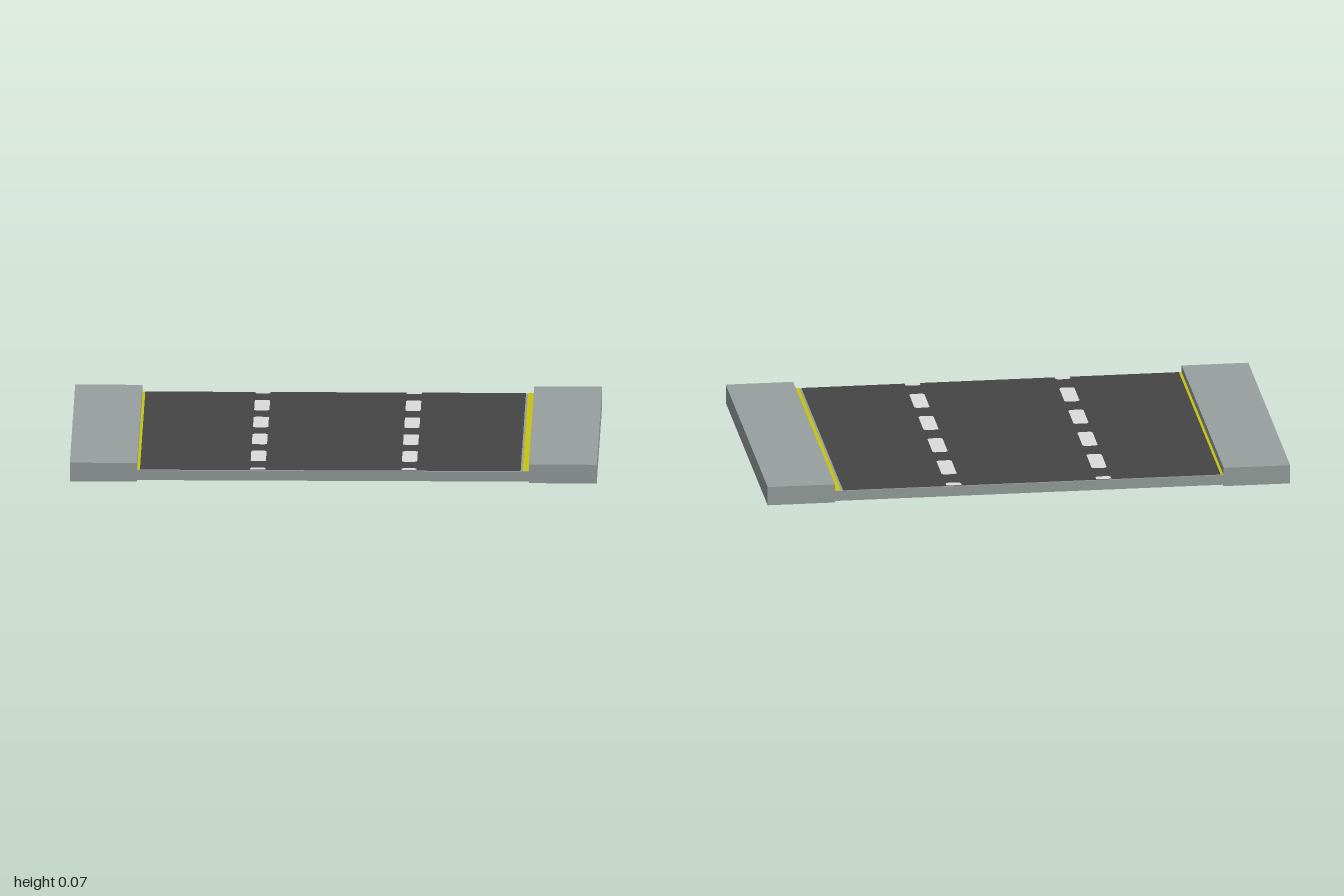
import * as THREE from 'three';

const DEPTH = 1.224, HALF = DEPTH / 2;
const ROAD_Y = 0.045;

function material(name, color) {
  const m = new THREE.MeshStandardMaterial({ color });
  m.name = name;
  return m;
}

export function createModel() {
  const group = new THREE.Group();
  const concrete = material('concrete grey', 0x97a19f);
  const asphalt = material('asphalt', 0x454545);
  const white = material('lane white', 0xdcdcdc);
  const yellow = material('kerb yellow', 0xc8c30c);

  // Box given by its x, y and z extents
  function box(name, mat, x0, x1, y0, y1, z0 = -HALF, z1 = HALF) {
    const mesh = new THREE.Mesh(new THREE.BoxGeometry(x1 - x0, y1 - y0, z1 - z0), mat);
    mesh.position.set((x0 + x1) / 2, (y0 + y1) / 2, (z0 + z1) / 2);
    mesh.name = name;
    group.add(mesh);
  }

  // Upward-facing plate lying on the road, with softened corners where asked
  function plate(name, mat, x0, x1, z0, z1, y, cutStart = 0, cutEnd = 0) {
    const a = cutStart, b = cutEnd;
    const shape = new THREE.Shape([
      [x0 + a, -z0], [x0, -z0 - a], [x0, -z1 + b], [x0 + b, -z1],
      [x1 - b, -z1], [x1, -z1 + b], [x1, -z0 - a], [x1 - a, -z0],
    ].map(([x, v]) => new THREE.Vector2(x, v)));
    const mesh = new THREE.Mesh(new THREE.ShapeGeometry(shape).rotateX(-Math.PI / 2), mat);
    mesh.position.y = y;
    mesh.name = name;
    group.add(mesh);
  }

  // Raised pavements and the slab between them
  box('rightPavement', concrete, -1, -0.745, 0, 0.073);
  box('leftPavement', concrete, 0.742, 1, 0, 0.073);
  box('roadBase', concrete, -0.745, 0.742, 0.006, ROAD_Y);

  // Asphalt surface and yellow kerb lines
  plate('roadSurface', asphalt, -0.734, 0.711, -HALF, HALF, ROAD_Y + 0.002);
  plate('rightKerbLine', yellow, -0.744, -0.734, -HALF, HALF, ROAD_Y + 0.002);
  plate('leftKerbLine', yellow, 0.719, 0.741, -HALF, HALF, ROAD_Y + 0.002);

  // Two rows of lane dashes, clipped at the ends of the road
  for (const x of [-0.287, 0.287]) {
    for (let i = 0; i < 6; i++) {
      const centre = (i - 2.5) * 0.265;
      const z0 = Math.max(centre - 0.083, -HALF), z1 = Math.min(centre + 0.083, HALF);
      plate('laneDash', white, x - 0.029, x + 0.029, z0, z1, ROAD_Y + 0.004,
        z0 > -HALF ? 0.008 : 0, z1 < HALF ? 0.008 : 0);
    }
  }
  return group;
}
